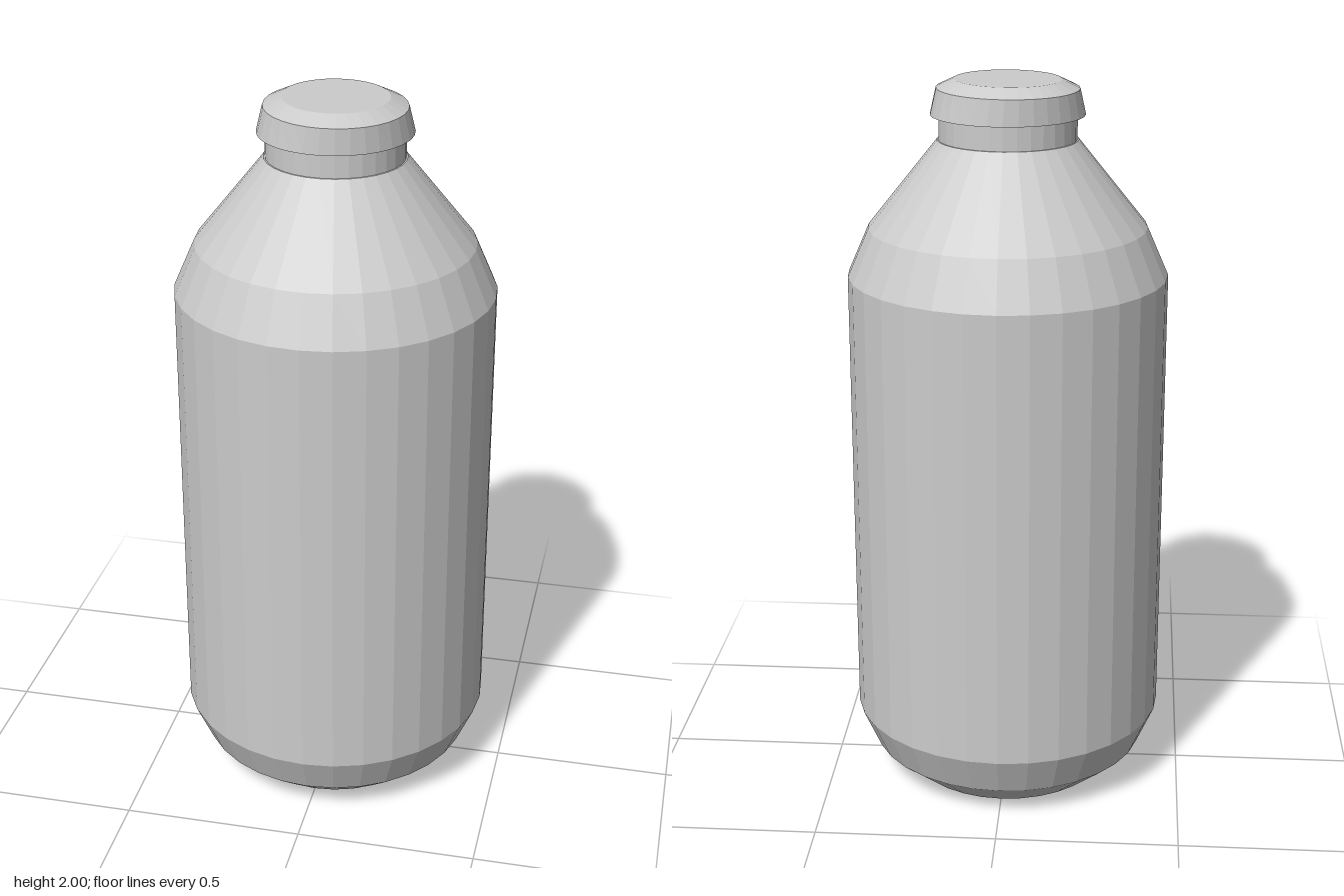
import * as THREE from 'three';

const SIDES = 32;

// Faceted solid of revolution from [radius, height] pairs, bottom to top
function turned(name, profile) {
  const points = profile.map(([r, y]) => new THREE.Vector2(r, y));
  const material = new THREE.MeshStandardMaterial({ color: 0xcccccc, flatShading: true });
  const mesh = new THREE.Mesh(new THREE.LatheGeometry(points, SIDES), material);
  mesh.name = name;
  return mesh;
}

export function createModel() {
  const bottle = new THREE.Group();
  bottle.name = 'bottle';

  // Body with chamfered base and sloping shoulder
  const body = turned('body', [
    [0, 0], [0.285, 0], [0.388, 0.085], [0.437, 0.197],
    [0.437, 1.473], [0.379, 1.605], [0.19, 1.84], [0, 1.84],
  ]);

  // Short straight neck
  const neck = turned('neck', [[0.186, 1.835], [0.186, 1.92]]);

  // Flared cap with a bevelled top
  const cap = turned('cap', [
    [0, 1.907], [0.208, 1.907], [0.207, 1.977], [0.155, 2], [0, 2],
  ]);

  // The cap's upper rings are pinched slightly along one diagonal
  const pinch = new THREE.Vector3(0.93, 0, -0.36).normalize();
  const pos = cap.geometry.attributes.position;
  const v = new THREE.Vector3();
  for (let i = 0; i < pos.count; i++) {
    v.fromBufferAttribute(pos, i);
    if (v.y < 1.95) continue;
    v.addScaledVector(pinch, -0.08 * v.dot(pinch));
    pos.setXYZ(i, v.x, v.y, v.z);
  }
  cap.geometry.computeVertexNormals();

  bottle.add(body, neck, cap);
  return bottle;
}
